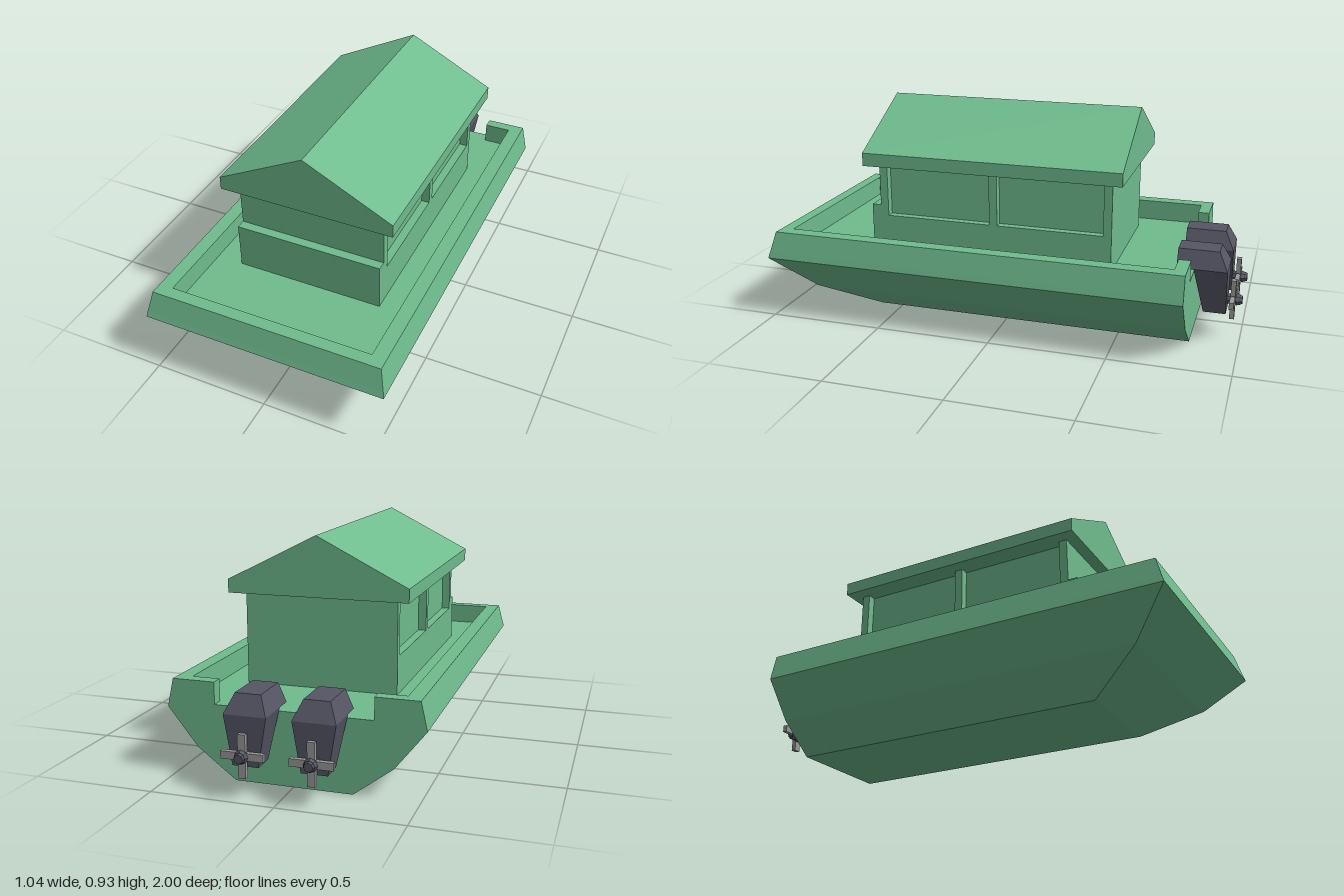
import * as THREE from 'three';

const mat = (color) => new THREE.MeshStandardMaterial({ color, flatShading: true });

// Skin horizontal rings (counterclockwise from above, lowest first) and cap both ends.
function loft(rings) {
  const pos = [];
  const tri = (...pts) => pts.forEach((p) => pos.push(...p));
  const n = rings[0].length;
  for (let r = 0; r < rings.length - 1; r++) {
    for (let i = 0; i < n; i++) {
      const j = (i + 1) % n;
      const [a, b, c, d] = [rings[r][i], rings[r][j], rings[r + 1][j], rings[r + 1][i]];
      tri(a, b, c);
      tri(a, c, d);
    }
  }
  const cap = (ring, up) => {
    const flat = ring.map((p) => new THREE.Vector2(p[0], -p[2]));
    for (const [a, b, c] of THREE.ShapeUtils.triangulateShape(flat, [])) {
      if (up) tri(ring[a], ring[b], ring[c]);
      else tri(ring[a], ring[c], ring[b]);
    }
  };
  cap(rings[0], false);
  cap(rings[rings.length - 1], true);
  const geo = new THREE.BufferGeometry();
  geo.setAttribute('position', new THREE.Float32BufferAttribute(pos, 3));
  geo.computeVertexNormals();
  return geo;
}

// Rectangle ring at height y with half width w, from front zf to back zb.
const rect = ([y, w, zf, zb]) => [[w, y, zf], [w, y, zb], [-w, y, zb], [-w, y, zf]];

export function createModel() {
  const model = new THREE.Group();
  const green = mat(0x6fbc8e);
  const dark = mat(0x555564);
  const steel = mat(0x999999);

  const add = (parent, name, geo, material) => {
    const mesh = new THREE.Mesh(geo, material);
    mesh.name = name;
    parent.add(mesh);
    return mesh;
  };
  // Box given by its limits on each axis.
  const box = (parent, name, [x0, x1], [y0, y1], [z0, z1], material) => {
    const mesh = add(parent, name, new THREE.BoxGeometry(x1 - x0, y1 - y0, z1 - z0), material);
    mesh.position.set((x0 + x1) / 2, (y0 + y1) / 2, (z0 + z1) / 2);
    return mesh;
  };

  // Hull up to the deck
  const deck = 0.3;
  const stern = -0.8;
  add(model, 'hull', loft([
    [0, 0.238, 0.6, stern],
    [0.12, 0.397, 0.835, stern],
    [0.275, 0.52, 1, stern],
    [deck, 0.515, 0.992, stern],
  ].map(rect)), green);

  // Bulwark around the deck, open at the stern
  const bulwarkRing = (y, w, zf) => {
    const half = [[w, zf], [w, stern], [0.32, stern], [0.32, -0.75], [0.435, -0.75], [0.435, 0.915]];
    const other = half.map(([x, z]) => [-x, z]).reverse();
    return [...half, ...other].map(([x, z]) => [x, y, z]);
  };
  add(model, 'bulwark', loft([bulwarkRing(deck, 0.515, 0.992), bulwarkRing(0.39, 0.495, 0.967)]), green);

  // Cabin with recessed side windows and a stepped front
  const cabin = new THREE.Group();
  cabin.name = 'cabin';
  model.add(cabin);
  const eave = 0.685;
  const sill = 0.455;
  box(cabin, 'cabinCore', [-0.285, 0.285], [sill, eave], [-0.475, 0.545], green);
  box(cabin, 'lowerWalls', [-0.32, 0.32], [deck, sill], [-0.475, 0.585], green);
  box(cabin, 'frontLedge', [-0.32, 0.32], [sill, 0.5], [0.545, 0.585], green);
  for (const side of [-1, 1]) {
    for (const z of [[-0.475, -0.44], [0.015, 0.05], [0.51, 0.545]]) {
      const post = box(cabin, 'windowPost', [0.285, 0.32], [sill, eave], z, green);
      post.position.x *= side;
    }
  }

  // Gabled roof
  const gable = new THREE.Shape([
    [-0.377, eave], [0.377, eave], [0.377, 0.741], [0, 0.932], [-0.377, 0.741],
  ].map(([x, y]) => new THREE.Vector2(x, y)));
  const roof = add(model, 'roof', new THREE.ExtrudeGeometry(gable, { depth: 1.12, bevelEnabled: false }), green);
  roof.position.z = -0.525;

  // Twin outboard motors
  for (const x of [-0.135, 0.135]) {
    const motor = new THREE.Group();
    motor.name = x > 0 ? 'leftOutboardMotor' : 'rightOutboardMotor';
    motor.position.x = x;
    model.add(motor);
    add(motor, 'motorBody', loft([
      [0.12, 0.052, -0.845, -0.938],
      [0.315, 0.085, -0.8, -0.938],
      [0.315, 0.085, -0.73, -0.938],
      [0.39, 0.052, -0.73, -0.9],
    ].map(rect)), dark);

    // Propeller: shaft, hub cap and four blades
    const propeller = new THREE.Group();
    propeller.name = 'propeller';
    propeller.position.set(0, 0.17, -0.961);
    motor.add(propeller);
    const shaft = add(propeller, 'propellerShaft', new THREE.CylinderGeometry(0.023, 0.023, 0.06, 8), dark);
    shaft.rotation.x = Math.PI / 2;
    const hub = add(propeller, 'propellerHub', new THREE.CylinderGeometry(0.028, 0.018, 0.025, 8), dark);
    hub.rotation.x = Math.PI / 2;
    hub.position.z = -0.0265;
    for (let i = 0; i < 4; i++) {
      const arm = new THREE.Group();
      arm.rotation.z = (i * Math.PI) / 2;
      propeller.add(arm);
      box(arm, 'propellerBlade', [-0.015, 0.015], [0.015, 0.085], [-0.01, 0.01], steel);
    }
  }
  return model;
}
